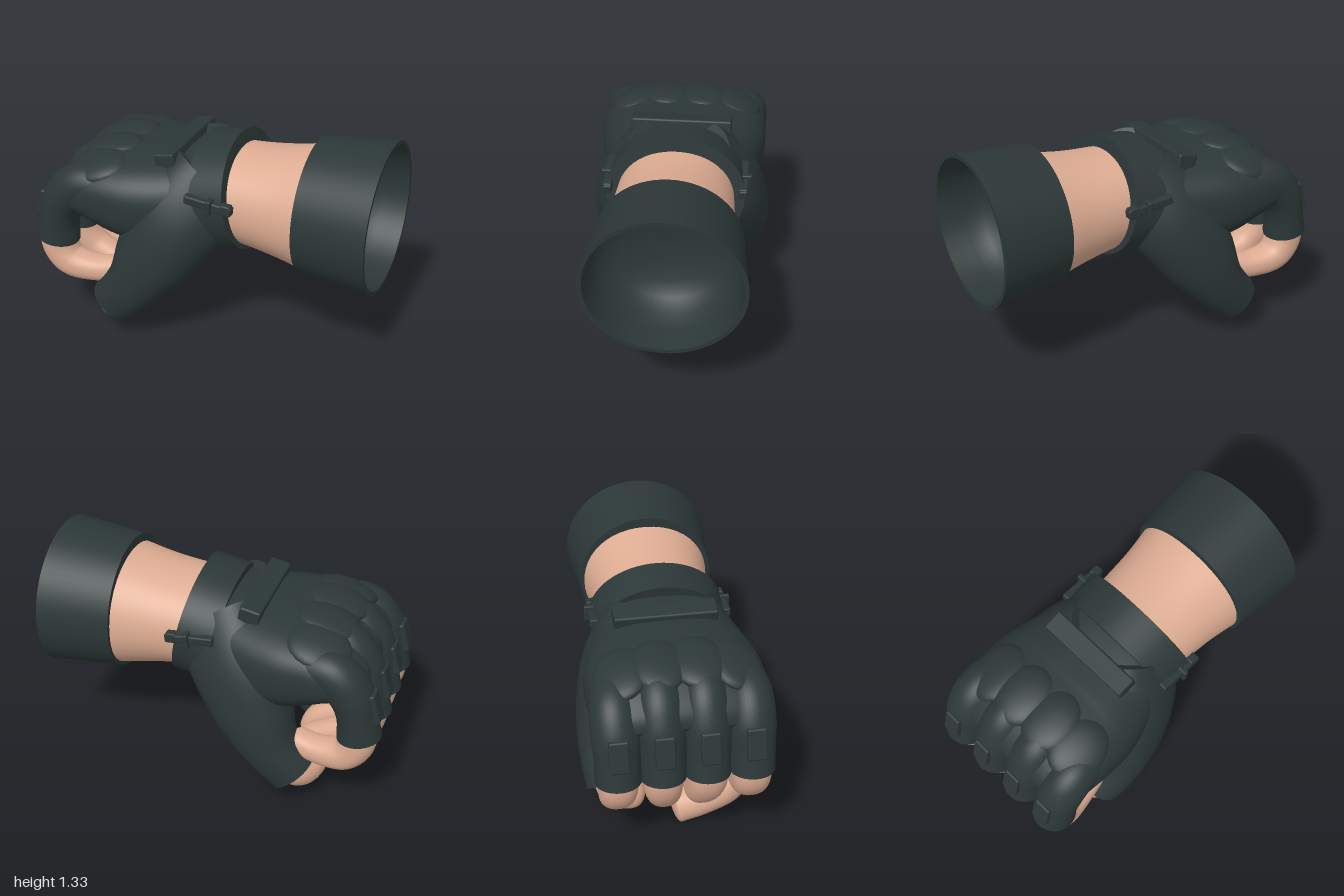
import * as THREE from 'three';
import { RoundedBoxGeometry } from 'three/addons/geometries/RoundedBoxGeometry.js';

const glove = new THREE.MeshStandardMaterial({ color: 0x2c3737, side: THREE.DoubleSide });
glove.name = 'dark glove fabric';
const skin = new THREE.MeshStandardMaterial({ color: 0xddac92 });
skin.name = 'skin';

// Lofts superelliptic rings along a path.
// Each row: [x, y, z, radius across the path, radius along the side axis]
function loft(rows, { side = [0, 0, 1], power = 2, round = 0, steps = 32, segs = 36 } = {}) {
  const path = new THREE.CatmullRomCurve3(rows.map(r => new THREE.Vector3(r[0], r[1], r[2])), false, 'catmullrom');
  const radii = new THREE.CatmullRomCurve3(rows.map(r => new THREE.Vector3(r[3], r[4], 0)), false, 'catmullrom');
  const ref = new THREE.Vector3(...side).normalize();
  const pos = [], idx = [];
  const bend = v => Math.sign(v) * Math.abs(v) ** (2 / power);
  const ring = u => {
    const c = path.getPoint(u), r = radii.getPoint(u), t = path.getTangent(u);
    const s = ref.clone().addScaledVector(t, -ref.dot(t)).normalize();
    const n = s.clone().cross(t);
    const start = 1 - round;
    const k = round && u > start ? Math.sqrt(Math.max(0.0004, 1 - ((u - start) / round) ** 2)) : 1;
    for (let j = 0; j < segs; j++) {
      const a = j / segs * Math.PI * 2;
      const p = c.clone().addScaledVector(s, k * r.y * bend(Math.cos(a))).addScaledVector(n, k * r.x * bend(Math.sin(a)));
      pos.push(p.x, p.y, p.z);
    }
    return c;
  };
  // rings sit closer together near a rounded tip
  for (let i = 0; i <= steps; i++) ring(round ? 1 - (1 - i / steps) ** 1.6 : i / steps);
  for (let i = 0; i < steps; i++) for (let j = 0; j < segs; j++) {
    const a = i * segs + j, b = i * segs + (j + 1) % segs;
    idx.push(a, a + segs, b, b, a + segs, b + segs);
  }
  // flat caps with their own vertices keep the rims crisp
  for (const u of [0, 1]) {
    const base = pos.length / 3;
    const c = ring(u);
    pos.push(c.x, c.y, c.z);
    for (let j = 0; j < segs; j++) {
      const a = base + j, b = base + (j + 1) % segs;
      if (u === 0) idx.push(base + segs, a, b); else idx.push(base + segs, b, a);
    }
  }
  const g = new THREE.BufferGeometry();
  g.setAttribute('position', new THREE.Float32BufferAttribute(pos, 3));
  g.setIndex(idx);
  g.computeVertexNormals();
  return g;
}

// Turns bands of [x, radius] points around the x axis, with crisp edges between bands
function turned(name, bands, zScale) {
  const group = new THREE.Group();
  group.name = name;
  for (const band of bands) {
    const g = new THREE.LatheGeometry(band.map(([x, r]) => new THREE.Vector2(r, x)), 64);
    g.rotateZ(-Math.PI / 2);
    const m = new THREE.Mesh(g, glove);
    m.name = name + 'Band';
    group.add(m);
  }
  group.scale.z = zScale;
  return group;
}

export function createModel() {
  const model = new THREE.Group();
  model.name = 'glovedFist';
  const add = (name, geometry, material, parent = model) => {
    const m = new THREE.Mesh(geometry, material);
    m.name = name;
    parent.add(m);
    return m;
  };
  const box = (name, w, h, d, r, x, y, z, tilt, parent) => {
    const m = add(name, new RoundedBoxGeometry(w, h, d, 2, r), glove, parent);
    m.position.set(x, y, z);
    m.rotation.z = tilt;
  };

  // Back of the hand and palm: [x, top, bottom, half width]
  const palm = [
    [0.14, 1.17, 0.64, 0.33], [-0.02, 1.16, 0.6, 0.375], [-0.2, 1.135, 0.58, 0.435],
    [-0.4, 1.13, 0.59, 0.48], [-0.56, 1.125, 0.64, 0.485], [-0.68, 1.075, 0.69, 0.48],
    [-0.78, 0.99, 0.73, 0.465], [-0.85, 0.88, 0.74, 0.43],
  ].map(([x, t, b, w]) => [x, (t + b) / 2, 0, (t - b) / 2, w]);
  add('palm', loft(palm, { power: 2.6, segs: 64, steps: 48 }), glove);

  // Fingers, spread across the width, the outer two set lower
  for (let i = 0; i < 4; i++) {
    const z = (i - 1.5) * 0.238;
    const inner = i === 1 || i === 2;
    const drop = inner ? 0 : 0.04;
    add('gloveFinger', loft([
      [-0.5, 0.99 - drop, z * 0.96, 0.1, 0.11], [-0.7, 0.97 - drop, z, 0.128, 0.126],
      [-0.81, 0.845 - drop / 2, z, 0.125, 0.13], [-0.853, 0.69, z, 0.112, 0.124], [-0.873, 0.555, z, 0.124, 0.123],
    ]), glove);

    // low padded knuckle
    const knuckle = add('knucklePad', new THREE.SphereGeometry(1, 24, 16), glove);
    knuckle.scale.set(0.18, 0.055, 0.15);
    knuckle.position.set(-0.61, 1.08 - drop * 0.9, z * 0.85);
    knuckle.rotation.set(inner ? 0 : Math.sign(z) * 0.3, 0, 0.2);

    box('fingerPad', 0.07, 0.18, 0.105, 0.012, -0.935, 0.77, z, -0.26);

    // middle fingers slope down under the palm, outer fingers curl level
    const zt = Math.sign(z) * 0.104;
    const fingertip = inner
      ? [[-0.785, 0.385, zt, 0.095, 0.093], [-0.65, 0.315, zt, 0.09, 0.08], [-0.535, 0.245, zt, 0.085, 0.077], [-0.48, 0.12, zt, 0.076, 0.076]]
      : [[-0.79, 0.41, z, 0.088, 0.098], [-0.64, 0.385, z * 0.95, 0.075, 0.085], [-0.47, 0.41, z * 0.88, 0.07, 0.075]];
    add('finger', loft([
      [-0.872, 0.62, z, 0.1, 0.105], [-0.864, 0.5, z, 0.1, 0.105], ...fingertip,
    ], { round: 0.09, power: 2.3, steps: 40 }), skin);
  }

  // Thumb sleeves on both sides, swelling out of the palm
  for (const s of [1, -1]) {
    add('thumbSleeve', loft([
      [0.02, 0.98, s * 0.12, 0.28, 0.2], [-0.14, 0.785, s * 0.25, 0.275, 0.215],
      [-0.265, 0.55, s * 0.325, 0.23, 0.195], [-0.375, 0.365, s * 0.358, 0.17, 0.162], [-0.51, 0.212, s * 0.345, 0.15, 0.152],
    ], { power: 2.2, segs: 48 }), glove);
  }
  // Bare thumbs, one crossing under the fingers and one tucked in
  add('leftThumb', loft([
    [-0.45, 0.28, 0.35, 0.12, 0.125], [-0.53, 0.18, 0.3, 0.12, 0.125],
    [-0.59, 0.13, 0.16, 0.1, 0.1], [-0.61, 0.1, -0.03, 0.105, 0.1],
  ], { side: [1, -1, 0], round: 0.06 }), skin);
  add('rightThumb', loft([
    [-0.45, 0.28, -0.35, 0.11, 0.12], [-0.53, 0.215, -0.33, 0.11, 0.115],
    [-0.58, 0.21, -0.27, 0.095, 0.095], [-0.6, 0.23, -0.18, 0.08, 0.08],
  ], { side: [1, -1, 0], round: 0.25 }), skin);

  // Forearm
  add('forearm', loft([
    [0.08, 0.9, 0, 0.27, 0.32], [0.25, 0.9, 0, 0.282, 0.33],
    [0.42, 0.897, 0, 0.31, 0.345], [0.59, 0.895, 0, 0.347, 0.373],
  ], { segs: 48, power: 2.1 }), skin);

  // Hollow sleeve cuff with a closed bowl inside
  const cuff = turned('cuff', [
    [[0.577, 0.3], [0.577, 0.387]],
    [[0.577, 0.387], [0.995, 0.428]],
    [[0.995, 0.428], [0.995, 0.404]],
    [[0.995, 0.404], [0.85, 0.39], [0.75, 0.37], [0.68, 0.32], [0.635, 0.24], [0.61, 0.13], [0.602, 0]],
  ], 1.02);
  cuff.position.y = 0.907;
  model.add(cuff);

  // Tilted wrist strap with a buckle on each side
  const wrist = new THREE.Group();
  wrist.name = 'wristStrap';
  wrist.position.set(0.085, 0.905, 0);
  wrist.rotation.z = 0.18;
  model.add(wrist);
  wrist.add(turned('strap', [
    [[-0.105, 0.24], [-0.105, 0.335]],
    [[-0.105, 0.335], [0.105, 0.335]],
    [[0.105, 0.335], [0.105, 0.24]],
  ], 1.15));
  for (const s of [1, -1]) {
    box('buckleBar', 0.28, 0.05, 0.05, 0.01, 0.025, 0.07, s * 0.375, -0.28, wrist);
    box('buckleKnob', 0.03, 0.09, 0.06, 0.008, 0.035, 0.065, s * 0.39, -0.28, wrist);
    box('buckleTab', 0.06, 0.06, 0.05, 0.01, 0.125, 0.045, s * 0.375, -0.28, wrist);
  }

  // Raised tab across the back of the hand
  box('backTab', 0.12, 0.1, 0.57, 0.012, -0.21, 1.125, -0.005, 0.2);
  return model;
}
